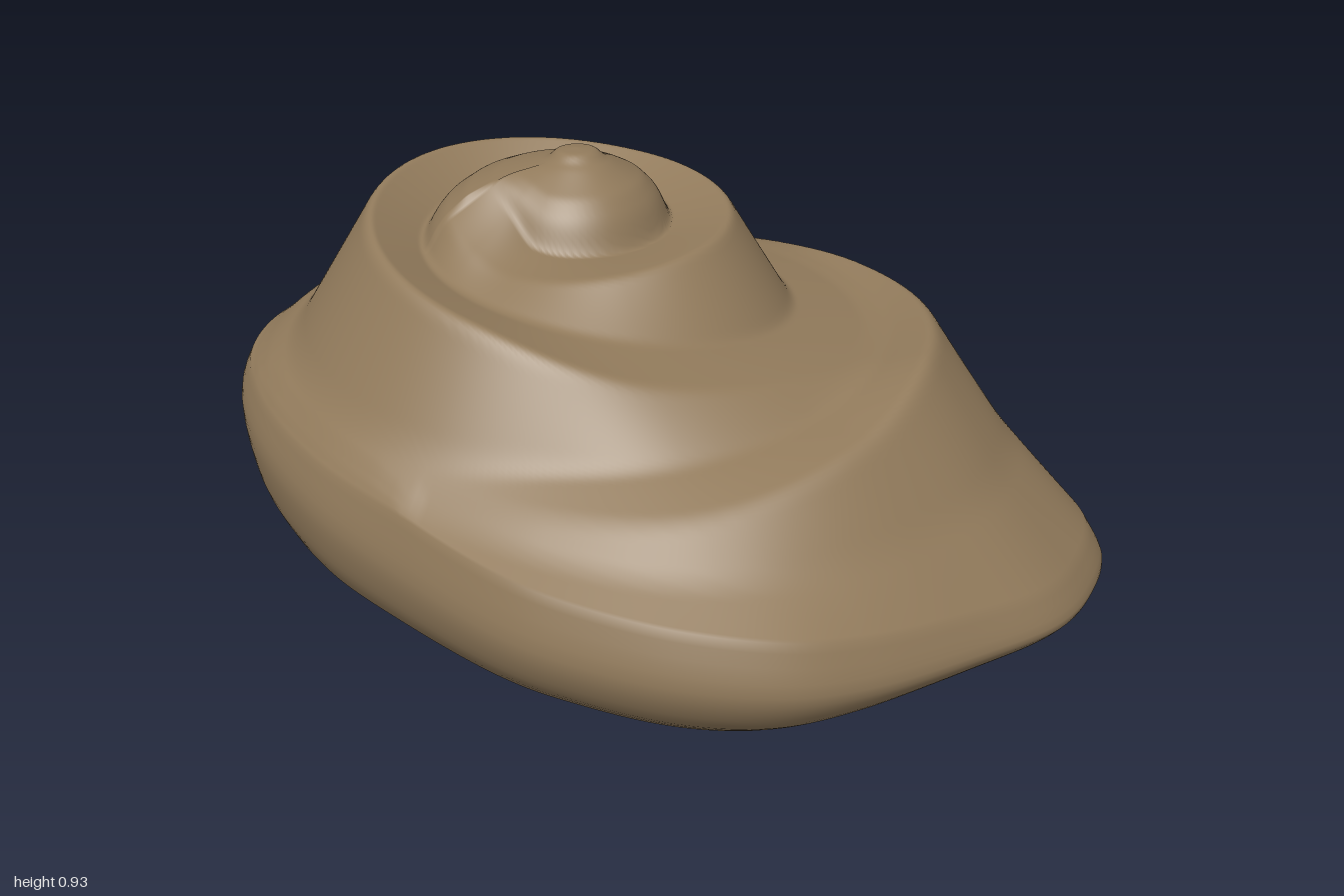
import * as THREE from 'three';
import { mergeVertices } from 'three/addons/utils/BufferGeometryUtils.js';

const AXIS = { x: -0.23, z: -0.1 }; // vertical axis of the coil
const COLS = 264, RINGS = 130, RIM = 12, FLOOR = 24;
const COIL_START = -0.12; // turn at which the first whorl leaves the dome

// Turns are counted from the front (+z) towards +x. Each key: [turn, radius, height]
const SUTURE = [
  [COIL_START, 0.2, 0.878], [-0.06, 0.19, 0.825], [0, 0.2, 0.765], [0.12, 0.2, 0.75], [0.25, 0.2, 0.755],
  [0.5, 0.23, 0.785], [0.75, 0.31, 0.77], [1, 0.4, 0.69], [1.25, 0.49, 0.59], [1.5, 0.43, 0.6],
  [1.625, 0.5, 0.585], [1.75, 0.61, 0.555], [2, 0.67, 0.46], [2.06, 0.68, 0.46], [2.12, 0.72, 0.475],
  [2.19, 0.73, 0.51], [2.25, 0.73, 0.555], [2.5, 0.56, 0.57], [2.625, 0.57, 0.56], [2.75, 0.67, 0.52],
  [3, 0.73, 0.4],
];
const CREST = [
  [COIL_START, 0.31, 0.81], [-0.06, 0.31, 0.765], [0, 0.31, 0.735], [0.12, 0.33, 0.75], [0.25, 0.35, 0.785],
  [0.5, 0.33, 0.84], [0.75, 0.43, 0.855], [1, 0.53, 0.715], [1.12, 0.6, 0.6], [1.25, 0.67, 0.555],
  [1.5, 0.5, 0.585], [1.625, 0.54, 0.57], [1.75, 0.64, 0.54], [2, 0.71, 0.42], [2.06, 0.77, 0.405],
  [2.12, 0.85, 0.42], [2.19, 0.87, 0.5], [2.25, 0.84, 0.59], [2.375, 0.7, 0.585], [2.44, 0.65, 0.555],
  [2.5, 0.625, 0.525], [2.625, 0.6, 0.53], [2.75, 0.7, 0.495], [3, 0.75, 0.385],
];
// [turn, upper edge height, widest height, lower edge height, lower edge scale]
const EDGE = [
  [0, 0.36, 0.24, 0.085, 0.93], [0.065, 0.3, 0.18, 0.035, 0.9], [0.125, 0.25, 0.14, 0.005, 0.9],
  [0.18, 0.2, 0.12, 0.05, 0.95], [0.25, 0.17, 0.11, 0.065, 0.97], [0.375, 0.28, 0.18, 0.085, 0.95],
  [0.5, 0.45, 0.27, 0.1, 0.91], [0.625, 0.46, 0.33, 0.14, 0.91], [0.75, 0.455, 0.39, 0.21, 0.93],
  [0.875, 0.42, 0.33, 0.14, 0.93], [1, 0.36, 0.24, 0.085, 0.93],
];
const OUTLINE = [
  [0, 0.765], [0.15, 0.775], [0.4, 0.74], [0.6, 0.65], [0.73, 0.52], [0.88, 0.28], [0.98, 0.08],
  [1, -0.08], [0.97, -0.27], [0.83, -0.43], [0.55, -0.62], [0.25, -0.75], [-0.03, -0.785],
  [-0.35, -0.74], [-0.65, -0.58], [-0.86, -0.37], [-0.97, -0.15], [-1, 0], [-0.95, 0.2],
  [-0.8, 0.4], [-0.55, 0.58], [-0.3, 0.68],
];

// Smooth cubic interpolation through unevenly spaced keys
function sample(keys, t) {
  let i = 0;
  while (i < keys.length - 2 && t > keys[i + 1][0]) i++;
  const a = keys[i], b = keys[i + 1], p = keys[i - 1] || a, n = keys[i + 2] || b;
  const h = b[0] - a[0], s = Math.min(1, Math.max(0, (t - a[0]) / h));
  return a.slice(1).map((_, j) => {
    const k = j + 1;
    const ma = (b[k] - p[k]) / (b[0] - p[0]) * h, mb = (n[k] - a[k]) / (n[0] - a[0]) * h;
    const s2 = s * s, s3 = s2 * s;
    return (2 * s3 - 3 * s2 + 1) * a[k] + (s3 - 2 * s2 + s) * ma + (3 * s2 - 2 * s3) * b[k] + (s3 - s2) * mb;
  });
}

// Height on a polyline of [radius, height] knots
function heightAt(knots, r) {
  r = Math.abs(r);
  for (let i = 1; i < knots.length; i++) {
    const [r0, y0] = knots[i - 1], [r1, y1] = knots[i];
    if (r <= r1) return y0 + (y1 - y0) * (r - r0) / (r1 - r0);
  }
  return knots[knots.length - 1][1];
}

// Radial section from the apex over every whorl to the outer edge
function sectionKnots(turn, edgeR, edgeY) {
  const first = turn - 1 > COIL_START ? turn - 1 : turn;
  const [domeR, domeY] = sample(SUTURE, first);
  const knots = [[0, 0.936], [0.045, 0.931], [0.062, 0.914], [0.075, 0.908]];
  for (const [f, drop] of [[0.55, 0.16], [0.72, 0.31], [0.87, 0.55], [0.95, 0.77]]) {
    knots.push([domeR * f, 0.908 + (domeY - 0.908) * drop]);
  }
  for (let t = first; t < turn + 2.5; t++) knots.push(sample(SUTURE, t), sample(CREST, t));
  const last = knots[knots.length - 1];
  const span = Math.max(0, edgeR - last[0]);
  knots.push([last[0] + span / 2, (last[1] + edgeY) / 2 - span * 0.09], [edgeR, edgeY]);
  const count = knots.length;
  for (let i = 1; i < count - 1; i++) {
    const limit = edgeR - 0.008 * (count - 1 - i);
    knots[i][0] = Math.max(knots[i - 1][0] + 0.004, Math.min(knots[i][0], limit));
  }
  return knots;
}

// Skin a closed ring of columns, each a list of points
function skin(columns) {
  const rows = columns[0].length, pos = [], index = [];
  columns.forEach((col) => col.forEach((p) => pos.push(...p)));
  columns.forEach((_, j) => {
    const a = j * rows, b = ((j + 1) % columns.length) * rows;
    for (let i = 0; i < rows - 1; i++) {
      index.push(a + i, a + i + 1, b + i + 1, a + i, b + i + 1, b + i);
    }
  });
  let geo = new THREE.BufferGeometry();
  geo.setAttribute('position', new THREE.Float32BufferAttribute(pos, 3));
  geo.setIndex(index);
  geo = mergeVertices(geo, 1e-5);
  geo.computeVertexNormals();
  return geo;
}

export function createModel() {
  const shellBrown = new THREE.MeshStandardMaterial({ color: 0x917a5b });
  shellBrown.name = 'shellBrown';
  const darkOlive = new THREE.MeshStandardMaterial({ color: 0x151408 });
  darkOlive.name = 'darkOlive';

  const outline = new THREE.CatmullRomCurve3(
    OUTLINE.map(([x, z]) => new THREE.Vector3(x, 0, z)), true, 'centripetal');
  const top = [], base = [];
  for (let j = 0; j < COLS; j++) {
    const p = outline.getPointAt(j / COLS);
    const dx = p.x - AXIS.x, dz = p.z - AXIS.z, R = Math.hypot(dx, dz);
    const turn = (Math.atan2(dx, dz) / (2 * Math.PI) + 1) % 1;
    const place = (r, y) => [AXIS.x + dx / R * r, y, AXIS.z + dz / R * r];
    const [edgeY, wideY, edgeLow, lowScale] = sample(EDGE, turn);
    const lowY = Math.max(0, edgeLow);
    const edgeR = R * 0.97;
    const knots = sectionKnots(turn, edgeR, edgeY);

    // whorls, with ridges softened more towards the outside
    const col = [];
    for (let i = 0; i <= RINGS; i++) {
      const r = edgeR * i / RINGS;
      const soft = i < 2 ? 0 : Math.min(0.006 + 0.018 * (i / RINGS) ** 2, edgeR - r);
      let y = 0;
      for (let k = -2; k <= 2; k++) y += heightAt(knots, r + soft * k / 2) / 5;
      col.push(i === 0 ? [AXIS.x, 0.936, AXIS.z] : place(r, y));
    }
    // rounded outer rim
    const rim = new THREE.SplineCurve([
      new THREE.Vector2(edgeR, edgeY), new THREE.Vector2(R, wideY),
      new THREE.Vector2(R * (0.65 + 0.35 * lowScale), wideY * 0.38 + lowY * 0.62),
      new THREE.Vector2(R * lowScale, lowY)]);
    for (let i = 1; i <= RIM; i++) {
      const q = rim.getPoint(i / RIM);
      col.push(place(q.x, q.y));
    }
    top.push(col);

    // underside, flatter towards +x and bowed up towards -x
    const under = [], bow = 2.9 + 1.2 * dx / R;
    for (let i = 0; i <= FLOOR; i++) {
      const f = 1 - i / FLOOR;
      under.push(f === 0 ? [AXIS.x, 0.015, AXIS.z] : place(R * lowScale * f, 0.015 + (lowY - 0.015) * f ** bow));
    }
    base.push(under);
  }

  const group = new THREE.Group();
  group.name = 'spiralShell';
  const shell = new THREE.Mesh(skin(top), shellBrown);
  shell.name = 'coiledShell';
  const underside = new THREE.Mesh(skin(base), darkOlive);
  underside.name = 'underside';
  group.add(shell, underside);
  return group;
}
